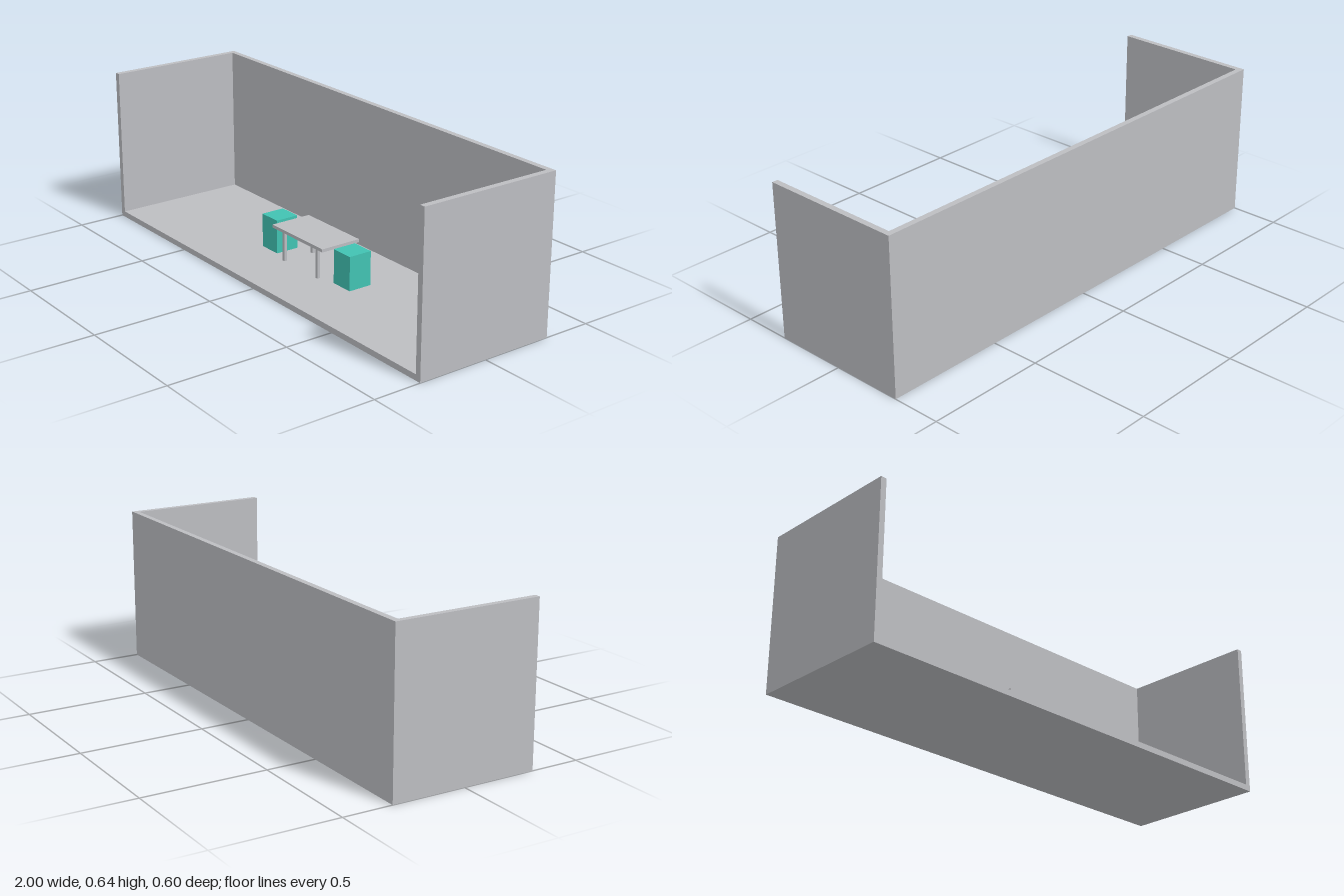
import * as THREE from 'three';

export function createModel() {
  const model = new THREE.Group();
  model.name = 'openRoom';

  const grey = new THREE.MeshStandardMaterial({ color: 0xbcbdc1 });
  grey.name = 'plain grey';
  const teal = new THREE.MeshStandardMaterial({ color: 0x41c2b2 });
  teal.name = 'teal';

  // Box given by its minimum and maximum corners
  function box(parent, name, material, [x0, y0, z0], [x1, y1, z1]) {
    const mesh = new THREE.Mesh(new THREE.BoxGeometry(x1 - x0, y1 - y0, z1 - z0), material);
    mesh.position.set((x0 + x1) / 2, (y0 + y1) / 2, (z0 + z1) / 2);
    mesh.name = name;
    parent.add(mesh);
  }

  const W = 1, D = 0.3, H = 0.642; // half width, half depth, height
  const T = 0.024;                 // thickness of floor and walls

  // Room shell: floor, back wall and two side walls, open at front and top
  const room = new THREE.Group();
  room.name = 'room';
  model.add(room);
  box(room, 'floor', grey, [-W, 0, -D], [W, T, D]);
  box(room, 'backWall', grey, [-W + T, T, -D], [W - T, H, -D + T]);
  box(room, 'rightWall', grey, [-W, T, -D], [-W + T, H, D]);
  box(room, 'leftWall', grey, [W - T, T, -D], [W, H, D]);

  // Table: thin top on four slim legs
  const table = new THREE.Group();
  table.name = 'table';
  table.position.set(-0.001, 0, -0.003);
  model.add(table);
  const top = 0.166, under = 0.153, leg = 0.0065;
  box(table, 'tableTop', grey, [-0.165, under, -0.09], [0.165, top, 0.09]);
  for (const x of [-0.11, 0.11]) {
    for (const z of [-0.07, 0.07]) {
      box(table, 'tableLeg', grey, [x - leg, T, z - leg], [x + leg, under, z + leg]);
    }
  }

  // Block seats at both ends of the table
  for (const [name, x] of [['rightSeat', -0.24], ['leftSeat', 0.238]]) {
    box(model, name, teal, [x - 0.05, T, -0.053], [x + 0.05, top, 0.049]);
  }

  return model;
}
